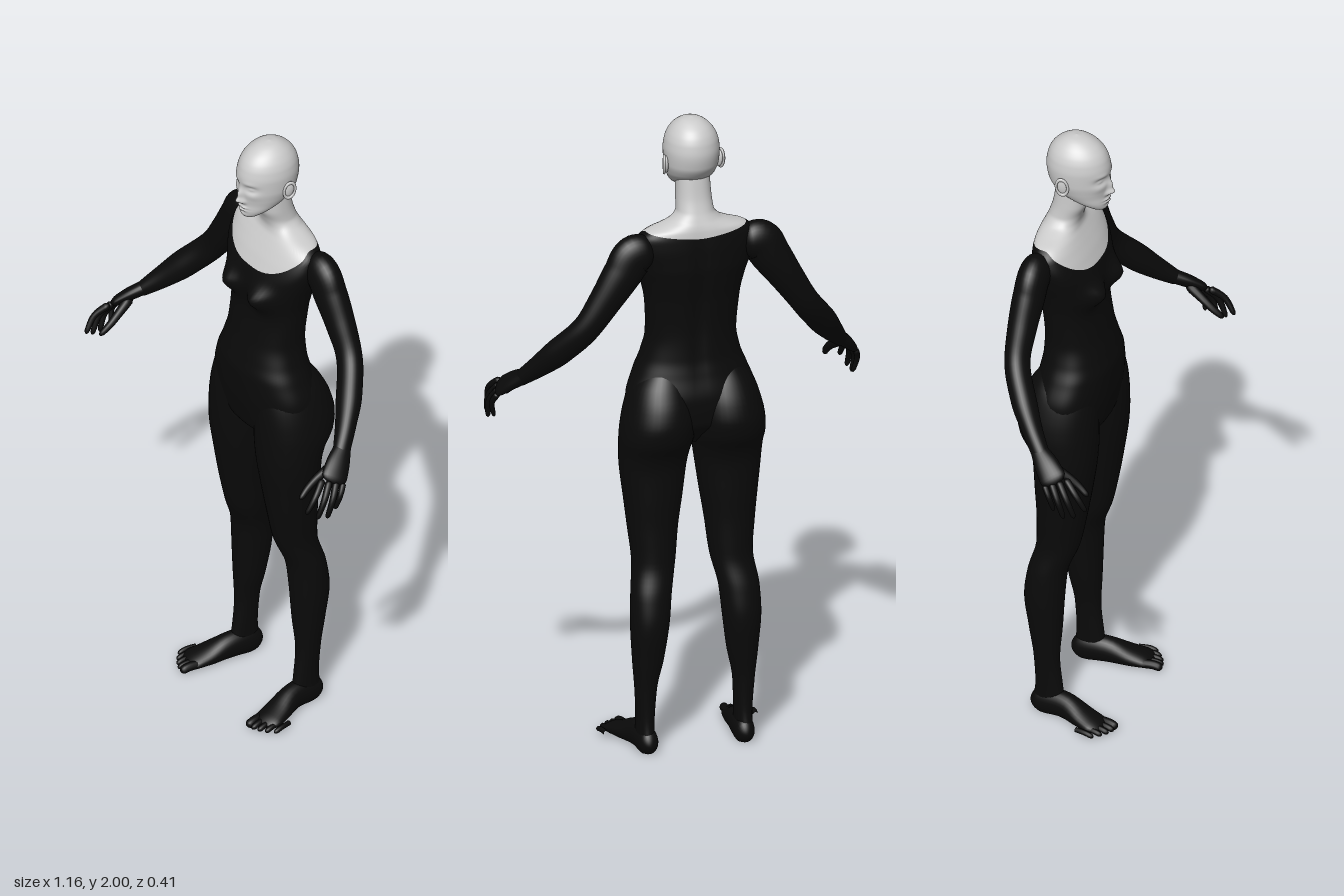
import * as THREE from 'three';

const skin = new THREE.MeshStandardMaterial({ color: 0xcccccc });
const suit = new THREE.MeshStandardMaterial({ color: 0x0a0a0a });

// Smooth monotone lookup in a table of rows [y, a, b, ...] sorted by y
function lookup(table, y) {
  const n = table.length;
  let i = 0;
  while (i < n - 2 && y > table[i + 1][0]) i++;
  const h = table[i + 1][0] - table[i][0];
  const t = Math.min(1, Math.max(0, (y - table[i][0]) / h));
  const secant = (k, c) => (table[k + 1][c] - table[k][c]) / (table[k + 1][0] - table[k][0]);
  const slope = (k, c) => {
    if (k === 0) return secant(0, c);
    if (k === n - 1) return secant(n - 2, c);
    const p = secant(k - 1, c), q = secant(k, c);
    return p * q <= 0 ? 0 : 2 * p * q / (p + q);
  };
  return table[i].slice(1).map((v, j) => {
    const c = j + 1;
    return v * (1 + 2 * t) * (1 - t) ** 2 + slope(i, c) * h * t * (1 - t) ** 2
      + table[i + 1][c] * t * t * (3 - 2 * t) + slope(i + 1, c) * h * t * t * (t - 1);
  });
}

// Closed-ring surface from point(angle, v)
function loft(name, material, point, nu, nv) {
  const pos = [], index = [];
  for (let j = 0; j <= nv; j++)
    for (let i = 0; i < nu; i++) pos.push(...point(i / nu * Math.PI * 2, j / nv));
  for (let j = 0; j < nv; j++)
    for (let i = 0; i < nu; i++) {
      const a = j * nu + i, b = j * nu + (i + 1) % nu;
      index.push(a, a + nu, b, b, a + nu, b + nu);
    }
  const g = new THREE.BufferGeometry();
  g.setAttribute('position', new THREE.Float32BufferAttribute(pos, 3));
  g.setIndex(index);
  g.computeVertexNormals();
  const mesh = new THREE.Mesh(g, material);
  mesh.name = name;
  return mesh;
}

// Limb along points [x, y, z, thickness, width]; width lies along ref, ends can be rounded
function limb(name, points, ref, nu, nv, round0 = 0, round1 = 0) {
  const curve = new THREE.CatmullRomCurve3(points.map(p => new THREE.Vector3(p[0], p[1], p[2])));
  const radii = points.map((p, i) => [i / (points.length - 1), p[3], p[4] ?? p[3]]);
  const R = new THREE.Vector3(...ref);
  return loft(name, suit, (a, s) => {
    const v = (1 - Math.cos(s * Math.PI)) / 2;
    const P = curve.getPoint(v), T = curve.getTangent(v);
    const B = R.clone().addScaledVector(T, -R.dot(T)).normalize();
    const A = T.clone().cross(B);
    let k = 1;
    if (v < round0) k = Math.sqrt(Math.max(0, 1 - (1 - v / round0) ** 2));
    if (v > 1 - round1) k = Math.sqrt(Math.max(0, 1 - (1 - (1 - v) / round1) ** 2));
    const [ra, rb] = lookup(radii, v);
    P.addScaledVector(A, ra * k * Math.cos(a)).addScaledVector(B, rb * k * Math.sin(a));
    return [P.x, Math.max(0, P.y), P.z];
  }, nu, nv);
}

// Sum of soft bumps [x, y, spreadX, spreadY, depth], mirrored in x
const bumps = (list, x, y) => list.reduce((s, [bx, by, sx, sy, d]) =>
  s + d * Math.exp(-(((Math.abs(x) - bx) / sx) ** 2) - ((y - by) / sy) ** 2), 0);

const power = (v, p) => Math.sign(v) * Math.abs(v) ** p;

function mirrored(mesh) {
  const m = mesh.clone();
  m.geometry = mesh.geometry.clone().scale(-1, 1, 1);
  m.geometry.index.array.reverse();
  m.geometry.computeVertexNormals();
  return m;
}

// Rows: y, half width, front z, back z
const torsoRows = [
  [0.965, 0.03, -0.02, -0.09], [1, 0.15, 0.03, -0.13], [1.05, 0.2, 0.042, -0.17],
  [1.12, 0.198, 0.052, -0.175], [1.2, 0.172, 0.055, -0.16], [1.25, 0.152, 0.045, -0.152],
  [1.32, 0.138, 0.028, -0.15], [1.43, 0.145, 0.012, -0.158], [1.5, 0.16, 0.018, -0.17],
  [1.55, 0.175, 0.012, -0.177], [1.6, 0.185, -0.008, -0.177], [1.64, 0.18, -0.03, -0.175],
  [1.665, 0.155, -0.045, -0.172], [1.68, 0.11, -0.053, -0.168], [1.695, 0.075, -0.055, -0.162],
  [1.72, 0.056, -0.05, -0.152], [1.76, 0.053, -0.035, -0.14], [1.82, 0.05, -0.03, -0.13]];
const chest = [[0.072, 1.485, 0.045, 0.042, 0.043]];
const spine = [[0, 1.42, 0.022, 0.2, 0.01]];

function torsoPoint(a, y) {
  const [w, f, b] = lookup(torsoRows, y);
  const c = Math.cos(a), s = Math.sin(a);
  const x = w * power(c, 0.88);
  const z = (f + b) / 2 + (f - b) / 2 * power(s, 0.88);
  return [x, y, z + Math.abs(s) * bumps(s > 0 ? chest : spine, x, y)];
}

// Scooped neckline: low in front, nearly straight behind
const neckline = a => Math.sin(a) > 0
  ? 1.57 + 0.095 * Math.abs(Math.cos(a)) ** 2.5
  : 1.645 + 0.02 * Math.abs(Math.cos(a));

const headRows = [
  [1.757, 0, 0.01, 0.01], [1.762, 0.022, 0.026, -0.01], [1.775, 0.04, 0.031, -0.04],
  [1.79, 0.054, 0.032, -0.075], [1.81, 0.066, 0.031, -0.115], [1.83, 0.074, 0.033, -0.138],
  [1.86, 0.081, 0.036, -0.155], [1.9, 0.083, 0.036, -0.161], [1.93, 0.079, 0.03, -0.157],
  [1.95, 0.072, 0.021, -0.15], [1.97, 0.059, 0.004, -0.136], [1.985, 0.043, -0.018, -0.117],
  [1.995, 0.025, -0.042, -0.096], [2, 0, -0.07, -0.07]];
const face = [
  [0, 1.825, 0.011, 0.01, 0.018], [0, 1.845, 0.009, 0.018, 0.012], [0.012, 1.821, 0.007, 0.007, 0.006],
  [0.034, 1.872, 0.018, 0.012, -0.012], [0.034, 1.872, 0.011, 0.006, 0.007], [0.033, 1.892, 0.022, 0.008, 0.003],
  [0.008, 1.799, 0.012, 0.004, 0.006], [0, 1.789, 0.014, 0.004, 0.006], [0, 1.794, 0.02, 0.0025, -0.004],
  [0, 1.78, 0.015, 0.006, -0.003], [0.045, 1.85, 0.015, 0.015, 0.003]];

function headPoint(a, v) {
  const y = 1.757 + 0.243 * (1 - Math.cos(v * Math.PI)) / 2;
  const [w, f, b] = lookup(headRows, y);
  const s = Math.sin(a);
  const x = w * Math.cos(a) * (1 - 0.07 * s);
  return [x, y, (f + b) / 2 + (f - b) / 2 * s + Math.max(0, s) * bumps(face, x, y)];
}

// Rows: y, inner x, outer x, front z, back z
const legRows = [
  [0.035, 0.128, 0.178, -0.04, -0.143], [0.1, 0.126, 0.179, -0.05, -0.135], [0.2, 0.12, 0.185, -0.06, -0.14],
  [0.3, 0.1, 0.194, -0.055, -0.156], [0.42, 0.084, 0.201, -0.05, -0.172], [0.5, 0.076, 0.198, -0.044, -0.163],
  [0.6, 0.056, 0.186, -0.01, -0.141], [0.7, 0.045, 0.195, 0.01, -0.14], [0.8, 0.03, 0.206, 0.026, -0.145],
  [0.9, 0.016, 0.217, 0.039, -0.15], [0.95, 0.008, 0.22, 0.042, -0.165], [1, 0.001, 0.222, 0.043, -0.196],
  [1.05, 0, 0.217, 0.042, -0.205], [1.1, 0.003, 0.206, 0.038, -0.196], [1.16, 0.015, 0.185, 0.025, -0.17],
  [1.22, 0.04, 0.14, 0, -0.13]];

function legPoint(a, v) {
  const y = 0.035 + 1.185 * v;
  const [x0, x1, f, b] = lookup(legRows, y);
  return [(x0 + x1) / 2 + (x1 - x0) / 2 * power(Math.cos(a), 0.95), y,
    (f + b) / 2 + (f - b) / 2 * power(Math.sin(a), 0.95)];
}

function sideParts() {
  const parts = [loft('leg', suit, legPoint, 40, 70)];
  // Foot and toes
  parts.push(limb('foot', [[0.15, 0.025, -0.151, 0.03, 0.026], [0.151, 0.035, -0.1, 0.045, 0.032],
    [0.157, 0.038, -0.04, 0.042, 0.034], [0.175, 0.024, 0.03, 0.028, 0.043],
    [0.194, 0.013, 0.1, 0.014, 0.046]], [1, 0, 0], 28, 30, 0.15, 0.12));
  for (let i = 0; i < 5; i++) {
    const r = i ? 0.0095 - 0.0004 * i : 0.0135, z = 0.134 - 0.0025 * i * (i + 0.5);
    parts.push(limb('toe', [[0.157 + 0.019 * i, 0.016, z - 0.06, r], [0.163 + 0.019 * i, 0.016, z - 0.025, r],
      [0.166 + 0.0185 * i, 0.009, z, r]], [1, 0, 0], 12, 12, 0, 0.25));
  }
  // Arm from inside the shoulder to the wrist
  parts.push(limb('arm', [[0.135, 1.6, -0.122, 0.045, 0.04], [0.195, 1.597, -0.122, 0.065, 0.047],
    [0.232, 1.545, -0.123, 0.06, 0.047], [0.285, 1.465, -0.122, 0.05, 0.043], [0.343, 1.378, -0.112, 0.043, 0.038],
    [0.405, 1.3, -0.065, 0.043, 0.038], [0.455, 1.237, -0.015, 0.034, 0.031],
    [0.498, 1.185, 0.033, 0.022, 0.026]], [0, 0, 1], 32, 60, 0.08));
  // Hand, fingers and thumb
  const across = [-0.4, 0.33, 0.86];
  parts.push(limb('palm', [[0.49, 1.195, 0.022, 0.022, 0.026], [0.518, 1.168, 0.06, 0.02, 0.037],
    [0.55, 1.132, 0.103, 0.014, 0.042]], across, 24, 20, 0, 0.2));
  const tips = [[0.55, 1.062, 0.2], [0.562, 1.037, 0.168], [0.567, 1.03, 0.136], [0.559, 1.044, 0.101]];
  tips.forEach((t, i) => {
    const k = 0.033 - 0.022 * i, r = i === 3 ? 0.0085 : 0.01;
    const base = [0.545, 1.138, 0.098].map((c, j) => c + across[j] * k);
    const mid = base.map((c, j) => (c + t[j]) / 2 + [0.011, 0.008, 0.004][j]);
    parts.push(limb('finger', [[...base, r * 1.15], [...mid, r], [...t, r * 0.75]], across, 12, 16, 0.1, 0.12));
  });
  parts.push(limb('thumb', [[0.508, 1.165, 0.065, 0.017], [0.497, 1.13, 0.122, 0.013],
    [0.495, 1.105, 0.155, 0.011], [0.5, 1.08, 0.186, 0.008]], [1, 0, 0], 12, 18, 0.1, 0.12));
  // Ear: shallow shell with a raised rim
  const shell = new THREE.Mesh(new THREE.SphereGeometry(1, 20, 14).scale(0.008, 0.028, 0.017), skin);
  const rim = new THREE.Mesh(new THREE.TorusGeometry(0.018, 0.004, 8, 28)
    .rotateY(Math.PI / 2).scale(1, 1.5, 0.95), skin);
  for (const [name, m, x] of [['ear', shell, 0.082], ['earRim', rim, 0.088]]) {
    m.geometry.rotateX(-0.15).rotateY(-0.3).translate(x, 1.86, -0.08);
    m.name = name;
    parts.push(m);
  }
  return parts;
}

export function createModel() {
  const model = new THREE.Group();
  model.name = 'figure';
  model.add(
    loft('bodysuit', suit, (a, v) => torsoPoint(a, 0.965 + (neckline(a) - 0.965) * v), 72, 80),
    loft('neckAndShoulders', skin, (a, v) => torsoPoint(a, neckline(a) + (1.82 - neckline(a)) * v), 72, 40),
    loft('head', skin, headPoint, 120, 110));
  for (const part of sideParts()) {
    const other = mirrored(part);
    part.name = 'left ' + part.name;
    other.name = 'right ' + other.name;
    model.add(part, other);
  }
  return model;
}
